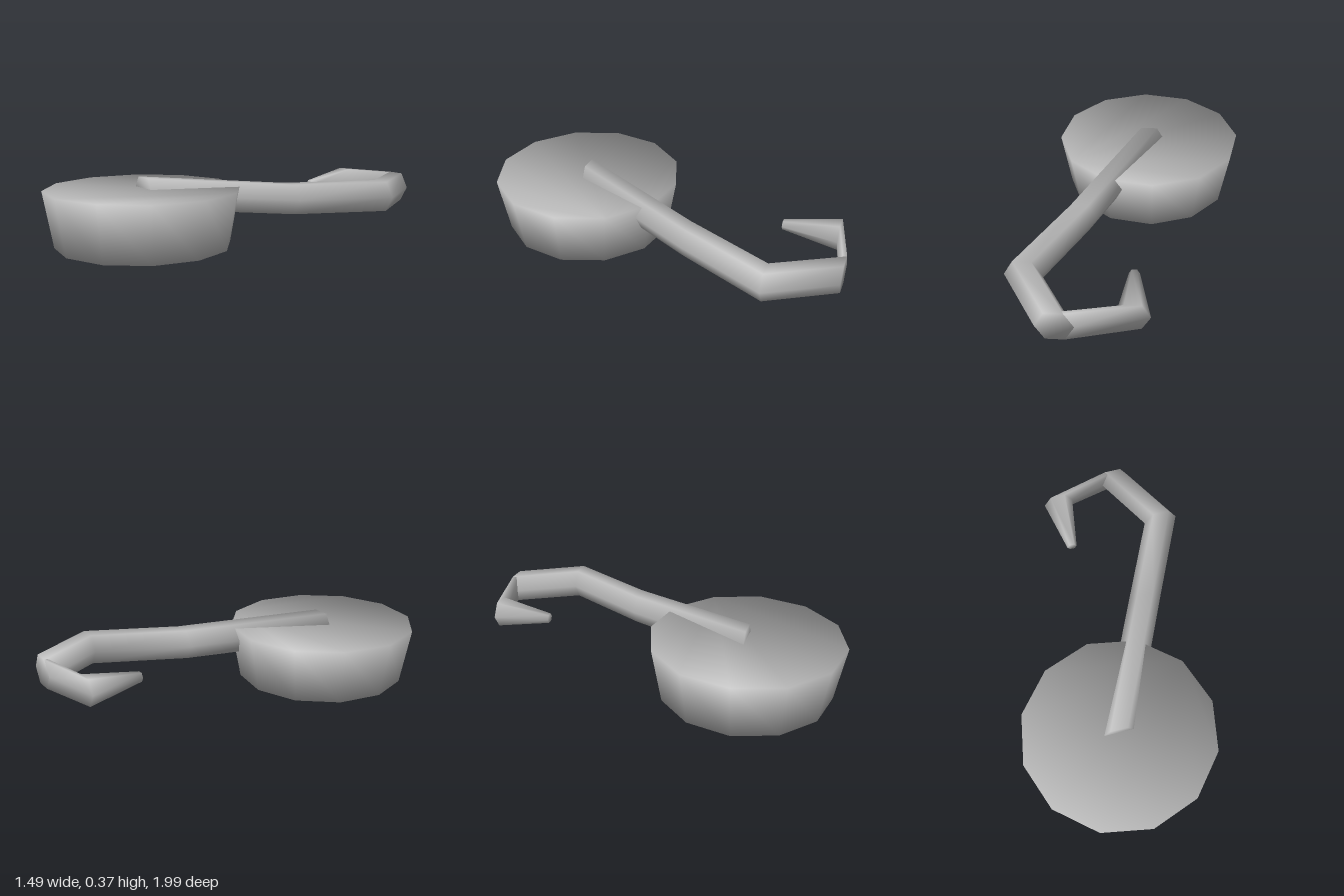
import * as THREE from 'three';

// One ring of points around a centre, spanned by the directions u and v
function ring(centre, radius, u, v, sides, phase = 0) {
  return Array.from({ length: sides }, (_, i) => {
    const a = phase + (i / sides) * Math.PI * 2;
    return centre.clone()
      .addScaledVector(u, Math.cos(a) * radius)
      .addScaledVector(v, Math.sin(a) * radius);
  });
}

// Skins a row of rings with closed ends; normals are shared and weighted by corner angle
function loft(rings) {
  const n = rings[0].length;
  const points = rings.flat();
  const faces = [];
  for (let j = 0; j < rings.length - 1; j++) {
    for (let i = 0; i < n; i++) {
      const k = (i + 1) % n;
      faces.push([j * n + i, (j + 1) * n + i, (j + 1) * n + k, j * n + k]);
    }
  }
  const ids = [...Array(n).keys()];
  faces.push(ids);
  faces.push(ids.map((i) => (rings.length - 1) * n + i).reverse());

  const normals = points.map(() => new THREE.Vector3());
  const index = [];
  for (const f of faces) {
    const corners = f.map((id, c) => {
      const p = points[id];
      const next = points[f[(c + 1) % f.length]].clone().sub(p);
      const prev = points[f[(c + f.length - 1) % f.length]].clone().sub(p);
      return { id, angle: next.angleTo(prev), cross: next.cross(prev) };
    });
    const faceNormal = new THREE.Vector3();
    corners.forEach((c) => faceNormal.add(c.cross));
    faceNormal.normalize();
    corners.forEach((c) => normals[c.id].addScaledVector(faceNormal, c.angle));
    for (let c = 1; c < f.length - 1; c++) index.push(f[0], f[c], f[c + 1]);
  }

  const geometry = new THREE.BufferGeometry();
  const flat = (list) => new THREE.Float32BufferAttribute(list.flatMap((p) => p.toArray()), 3);
  geometry.setAttribute('position', flat(points));
  geometry.setAttribute('normal', flat(normals.map((v) => v.normalize())));
  geometry.setIndex(index);
  return geometry;
}

export function createModel() {
  const model = new THREE.Group();
  model.name = 'hookedHandlePan';
  const grey = new THREE.MeshStandardMaterial({ color: 0xb8b8b8, side: THREE.DoubleSide });
  grey.name = 'plain grey';

  const add = (name, rings) => {
    const mesh = new THREE.Mesh(loft(rings), grey);
    mesh.name = name;
    model.add(mesh);
  };

  // Twelve-sided drum, wider at the top
  const X = new THREE.Vector3(1, 0, 0);
  const Y = new THREE.Vector3(0, 1, 0);
  const Z = new THREE.Vector3(0, 0, 1);
  const turn = THREE.MathUtils.degToRad(10.1);
  const drumRing = (y, r) => ring(new THREE.Vector3(-0.22, y, 0.465), r, X, Z, 12, turn);
  add('drum', [drumRing(0, 0.48), drumRing(0.312, 0.536)]);

  // Six-sided handle sections all share one sideways direction
  const across = new THREE.Vector3(0.966, 0, 0.259);
  const section = (x, y, z, r) => ring(new THREE.Vector3(x, y, z), r, across, Y, 6);
  const bend = section(0.545, 0.228, -0.968, 0.094);

  // Long shaft, rising over the drum
  add('shaft', [
    section(-0.22, 0.287, 0.463, 0.096),
    section(0.304, 0.228, -0.165, 0.096),
    section(0.652, 0.228, -0.575, 0.096),
    bend,
  ]);

  // Hook returning from the bend to a thin tip
  add('hook', [
    section(0.105, 0.228, -0.675, 0.028),
    section(0.175, 0.228, -0.978, 0.085),
    bend,
  ]);

  return model;
}
